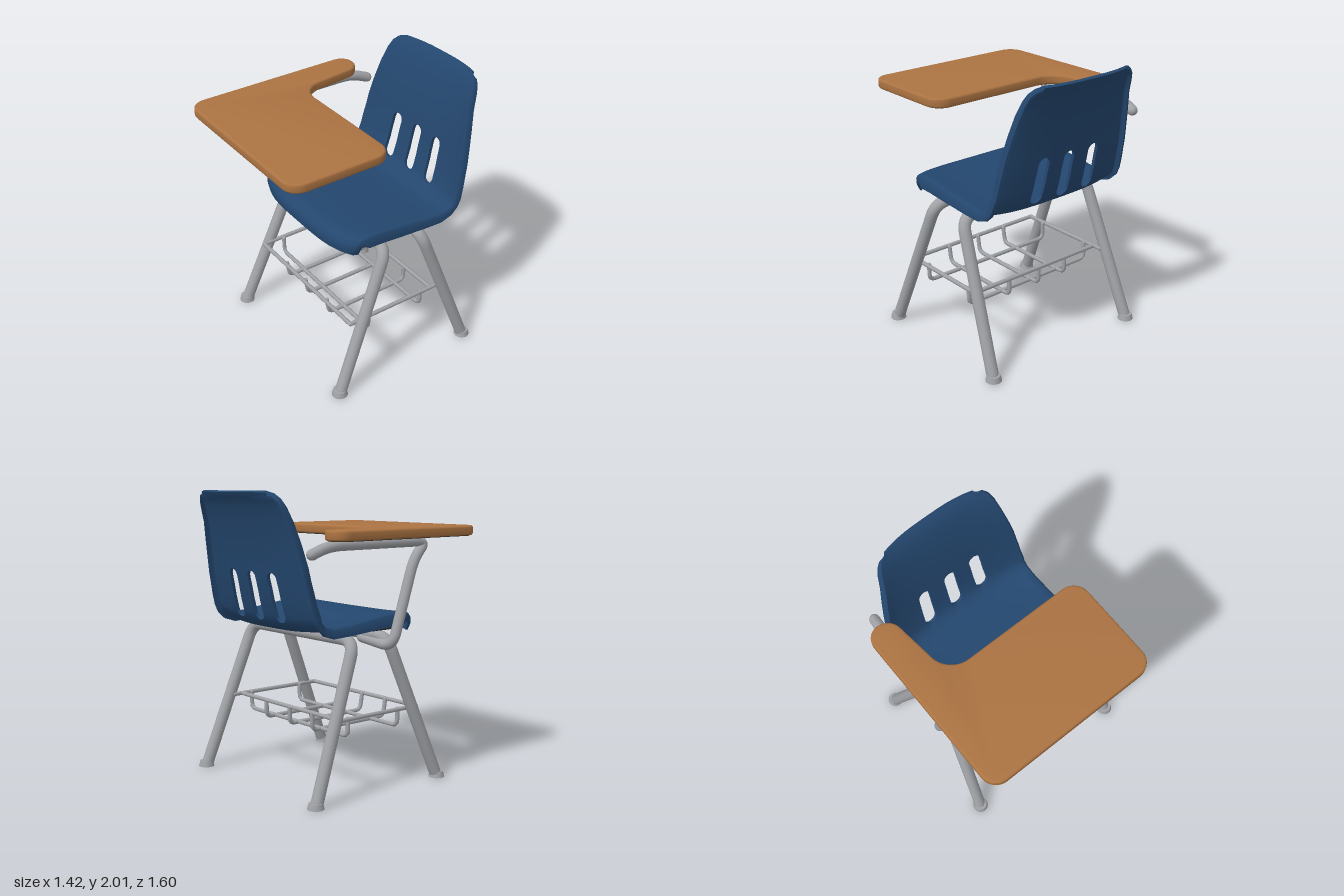
import * as THREE from 'three';
import { toCreasedNormals } from 'three/addons/utils/BufferGeometryUtils.js';

const mat = (name, color) => Object.assign(new THREE.MeshStandardMaterial({ color }), { name });

// Path through points with rounded corners
function roundedPath(points, radius) {
  const p = points.map((a) => new THREE.Vector3(...a));
  const path = new THREE.CurvePath();
  let from = p[0];
  for (let i = 1; i < p.length - 1; i++) {
    const toward = (q) => p[i].clone().add(q.clone().sub(p[i]).setLength(Math.min(radius, q.distanceTo(p[i]) * 0.49)));
    const a = toward(p[i - 1]), b = toward(p[i + 1]);
    path.add(new THREE.LineCurve3(from, a));
    path.add(new THREE.QuadraticBezierCurve3(a, p[i], b));
    from = b;
  }
  path.add(new THREE.LineCurve3(from, p[p.length - 1]));
  return path;
}

// Plan outline with a radius per corner; corners are [x, z, radius]
function roundedShape(corners) {
  const shape = new THREE.Shape();
  const n = corners.length;
  const v = (c) => new THREE.Vector2(c[0], -c[1]);
  corners.forEach((c, i) => {
    const o = v(c);
    const toward = (q) => o.clone().add(v(q).sub(o).setLength(c[2]));
    const a = toward(corners[(i + n - 1) % n]), b = toward(corners[(i + 1) % n]);
    if (i === 0) shape.moveTo(a.x, a.y); else shape.lineTo(a.x, a.y);
    const k = 0.15; // pull the control points near the corner for a circular arc
    const ca = a.clone().lerp(o, 0.4 + k), cb = b.clone().lerp(o, 0.4 + k);
    shape.bezierCurveTo(ca.x, ca.y, cb.x, cb.y, b.x, b.y);
  });
  shape.closePath();
  return shape;
}

// Horizontal board from y0 to y1, shrunk by inset
function board(shape, y0, y1, bevel, inset = 0) {
  const g = new THREE.ExtrudeGeometry(shape, {
    depth: y1 - y0 - 2 * bevel, bevelThickness: bevel, bevelSize: bevel,
    bevelOffset: -bevel - inset, bevelSegments: 3, curveSegments: 10,
  });
  g.rotateX(-Math.PI / 2).translate(0, y0 + bevel, 0);
  return toCreasedNormals(g, 0.6);
}

// Moulded shell: rows run from the front lip along the seat and up the back
function shellGeometry() {
  const thick = 0.024, slotR = 0.045, slotStart = 11, slotEnd = 14;
  // z, y, half width, dish of the sides, rim depth
  const rows = [
    [0.41, 1.05, 0.53, 0, 0.028], [0.415, 1.09, 0.55, 0.005, 0.03], [0.405, 1.13, 0.56, 0.012, 0.04],
    [0.375, 1.155, 0.565, 0.02, 0.06], [0.31, 1.165, 0.57, 0.025, 0.09], [0.15, 1.155, 0.57, 0.03, 0.09],
    [-0.05, 1.13, 0.57, 0.035, 0.085], [-0.25, 1.105, 0.57, 0.035, 0.075], [-0.37, 1.095, 0.57, 0.035, 0.07],
    [-0.45, 1.102, 0.57, 0.045, 0.06], [-0.505, 1.135, 0.57, 0.055, 0.055], [-0.53, 1.19, 0.57, 0.06, 0.06],
    [-0.555, 1.28, 0.56, 0.06, 0.06], [-0.572, 1.36, 0.553, 0.06, 0.06], [-0.59, 1.435, 0.545, 0.06, 0.06],
    [-0.605, 1.52, 0.535, 0.06, 0.06], [-0.637, 1.66, 0.51, 0.06, 0.06], [-0.675, 1.8, 0.48, 0.06, 0.055],
    [-0.712, 1.9, 0.458, 0.055, 0.05], [-0.738, 1.95, 0.44, 0.05, 0.04], [-0.762, 1.982, 0.41, 0.045, 0.03],
    [-0.782, 1.998, 0.36, 0.04, 0.026], [-0.8, 1.988, 0.36, 0.04, 0.026],
  ];
  // Columns: three rim columns each side, plain ones, and arcs over the slots
  const cols = [];
  const plain = (...us) => us.forEach((u) => cols.push({ u, bu: u, slot: -1, bump: 0 }));
  const slot = (centre, id) => {
    for (let k = 0; k <= 8; k++) {
      const a = Math.PI * (1 - k / 8), u = centre + 0.084 * Math.cos(a);
      cols.push({ u, bu: u, slot: id, bump: slotR * Math.sin(a) });
    }
  };
  plain(-1, -1, -0.975, -0.9, -0.8, -0.65);
  slot(-0.4, 0); plain(-0.2); slot(0, 1); plain(0.2); slot(0.39, 2);
  plain(0.65, 0.8, 0.9, 0.975, 1, 1);
  const R = rows.length, C = cols.length, pos = [], index = [];
  const rimU = [0.965, 0.96, 0.94];
  for (const back of [false, true]) {
    rows.forEach(([z, y, hw, dish, rim], i) => {
      const p = rows[Math.max(i - 1, 0)], q = rows[Math.min(i + 1, R - 1)];
      const len = Math.hypot(q[0] - p[0], q[1] - p[1]);
      const tz = (q[0] - p[0]) / len, ty = (q[1] - p[1]) / len;
      const [dz, dy] = i < 9 ? [0, 1] : i > 11 ? [1, 0] : [ty, -tz];
      cols.forEach((c, j) => {
        const e = Math.min(j, C - 1 - j);
        const u = back && e < 3 ? Math.sign(c.u) * rimU[e] : c.u;
        const drop = back ? (e === 0 ? rim : e === 1 ? Math.min(rim, thick + 0.02) : thick)
          : (e === 0 ? rim : e === 1 ? 0.016 : 0);
        const rise = dish * Math.abs(u) ** 3;
        const slide = i === slotStart ? -c.bump : i === slotEnd ? c.bump : 0;
        const bow = 0.09 * THREE.MathUtils.smoothstep(z, 0, 0.4) * u ** 4;
        pos.push(0.03 + u * hw,
          y + rise * dy + slide * ty + drop * tz,
          z + rise * dz + slide * tz - drop * ty - bow);
      });
    });
  }
  const solid = (i, j) => i >= 0 && j >= 0 && i < R - 1 && j < C - 1 &&
    !(i >= slotStart && i < slotEnd && cols[j].slot >= 0 && cols[j].slot === cols[j + 1].slot);
  const quad = (a, b, c, d) => index.push(a, b, c, a, c, d);
  const N = R * C;
  for (let i = 0; i < R - 1; i++) for (let j = 0; j < C - 1; j++) {
    if (!solid(i, j)) continue;
    const a = i * C + j, b = a + 1, d = a + C, c = d + 1;
    quad(a, b, c, d);
    quad(N + d, N + c, N + b, N + a);
    // Close every open edge, including the slot walls
    const wall = (s, t) => quad(t, s, N + s, N + t);
    if (!solid(i - 1, j)) wall(a, b);
    if (!solid(i, j + 1)) wall(b, c);
    if (!solid(i + 1, j)) wall(c, d);
    if (!solid(i, j - 1)) wall(d, a);
  }
  const g = new THREE.BufferGeometry();
  g.setAttribute('position', new THREE.Float32BufferAttribute(pos, 3));
  g.setIndex(index);
  return toCreasedNormals(g, 0.95);
}

export function createModel() {
  const model = new THREE.Group();
  model.name = 'tabletArmChair';
  const blue = mat('bluePlastic', 0x24476f);
  const wood = mat('woodLaminate', 0xab7342);
  const steel = mat('greySteel', 0xa0a2a6);
  const black = mat('blackUnderside', 0x222527);

  const add = (name, geometry, material, parent = model) => {
    const m = new THREE.Mesh(geometry, material);
    m.name = name;
    parent.add(m);
    return m;
  };
  const tube = (name, points, r, bend, parent = model, segments = 90, sides = 14) => {
    add(name, new THREE.TubeGeometry(roundedPath(points, bend), segments, r, sides), steel, parent);
    for (const p of [points[0], points[points.length - 1]])
      add(name + 'End', new THREE.SphereGeometry(r, sides, 8), steel, parent).position.set(...p);
  };

  // Seat and back in one shell, with a dark panel below
  add('seatShell', shellGeometry(), blue);
  const panel = roundedShape([[-0.49, -0.25, 0.05], [-0.49, 0.27, 0.08], [-0.2, 0.36, 0.1], [0.26, 0.36, 0.1],
    [0.55, 0.27, 0.08], [0.55, -0.25, 0.05]]);
  add('seatUnderside', board(panel, 1.068, 1.076, 0.002), black);

  // Writing tablet
  const tablet = roundedShape([[-0.71, -0.485, 0.095], [-0.7, 0.8, 0.11], [0.585, 0.8, 0.11],
    [0.585, 0.05, 0.12], [-0.45, 0.05, 0.15], [-0.515, -0.485, 0.095]]);
  add('tabletTop', board(tablet, 1.69, 1.757, 0.014), wood);
  add('tabletUnderside', board(tablet, 1.686, 1.692, 0.002, 0.02), black);

  // Tablet arm: from the back, under the tablet, down and in under the seat
  tube('tabletArm', [[-0.575, 1.61, -0.59], [-0.59, 1.66, -0.46], [-0.6, 1.662, 0.38], [-0.605, 1.55, 0.26],
    [-0.61, 0.97, 0.065], [-0.3, 1.0, 0.075]], 0.036, 0.1, model, 140);

  // Leg frames, each a bent hoop with two glides
  for (const [name, footZ, topZ] of [['front', 0.51, 0.09], ['back', -0.59, -0.2]]) {
    const cx = 0.022;
    tube(name + 'Legs', [[cx - 0.628, 0.035, footZ - (footZ - topZ) * 0.035], [cx - 0.55, 1.03, topZ],
      [cx + 0.565, 1.03, topZ], [cx + 0.628, 0.035, footZ - (footZ - topZ) * 0.035]], 0.042, 0.11, model, 140);
    for (const s of [-1, 1]) {
      const foot = add(name + 'Glide', new THREE.CylinderGeometry(0.046, 0.056, 0.04, 20), steel);
      foot.position.set(cx + s * 0.63, 0.02, footZ);
    }
  }

  // Wire book rack
  const rack = new THREE.Group();
  rack.name = 'bookRack';
  model.add(rack);
  const wire = (name, points) => tube(name, points, 0.015, 0.045, rack, 50, 8);
  const top = 0.515, low = 0.395, left = -0.53, right = 0.585;
  for (const x of [left, right]) wire('rackSideRail', [[x, top, 0.375], [x, top, -0.38]]);
  for (const z of [0.375, -0.315]) wire('rackCrossRail', [[left, top, z], [right, top, z]]);
  for (const z of [0.215, -0.235])
    wire('rackCrossWire', [[-0.51, top, z], [-0.51, low, z], [0.57, low, z], [0.57, top, z]]);
  for (const x of [-0.235, 0.012, 0.28])
    wire('rackLongWire', [[x, top, 0.36], [x, low, 0.34], [x, low, -0.315], [x, top, -0.315]]);
  return model;
}
